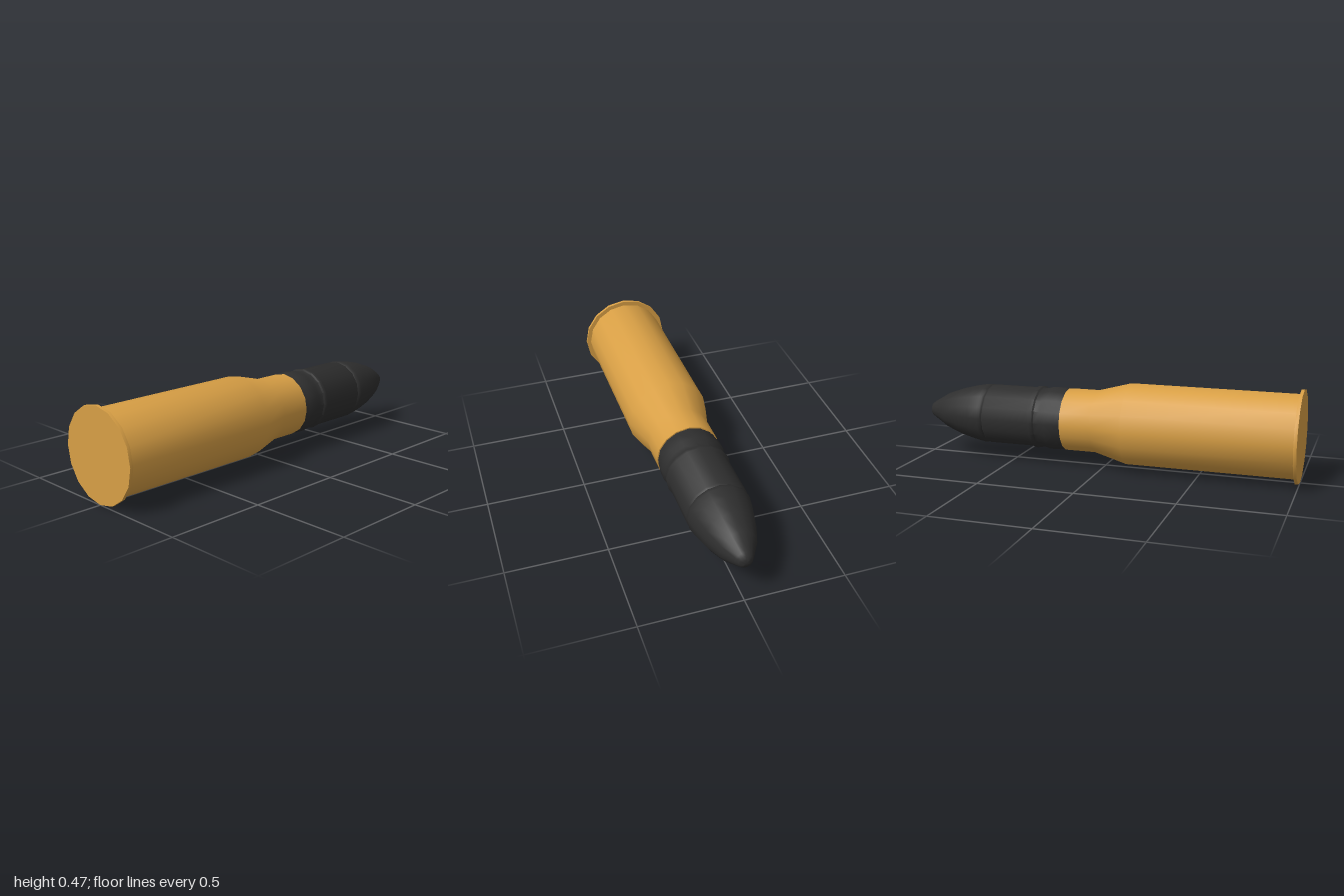
import * as THREE from 'three';
import { toCreasedNormals } from 'three/addons/utils/BufferGeometryUtils.js';

const SIDES = 16;

// Turned part from [radius, distance along the axis] pairs
function turned(name, profile, material) {
  const points = profile.map(([r, y]) => new THREE.Vector2(r, y));
  const geometry = toCreasedNormals(new THREE.LatheGeometry(points, SIDES), 0.8);
  const mesh = new THREE.Mesh(geometry, material);
  mesh.name = name;
  return mesh;
}

export function createModel() {
  const brass = new THREE.MeshStandardMaterial({ color: 0xd89f45 });
  brass.name = 'brass';
  const darkSteel = new THREE.MeshStandardMaterial({ color: 0x2e2e2e });
  darkSteel.name = 'dark steel';

  const round = new THREE.Group();
  round.name = 'shell';

  // Flat base with a thin rim
  round.add(turned('rim', [
    [0, -1], [0.233, -1], [0.233, -0.984], [0.208, -0.984],
  ], brass));

  // Straight body, sloped shoulder, neck and mouth
  round.add(turned('case', [
    [0.21, -0.984], [0.21, -0.135], [0.163, 0.038], [0.163, 0.2], [0.15, 0.2],
  ], brass));

  // Projectile: driving bands, cylinder, groove, ogive and blunt tip
  round.add(turned('projectile', [
    [0.157, 0.195], [0.157, 0.208], [0.164, 0.228], [0.165, 0.285], [0.157, 0.312],
    [0.157, 0.343], [0.164, 0.35], [0.164, 0.368], [0.157, 0.382],
    [0.157, 0.628], [0.151, 0.638], [0.157, 0.648], [0.157, 0.662],
    [0.146, 0.72], [0.126, 0.8], [0.092, 0.894], [0.044, 0.975],
    [0.034, 0.989], [0.018, 0.998], [0, 1],
  ], darkSteel));

  // Lay the round down with its tip to the back
  round.rotation.x = -Math.PI / 2;
  round.position.y = 0.233;

  const model = new THREE.Group();
  model.name = 'artilleryRound';
  model.add(round);
  return model;
}
